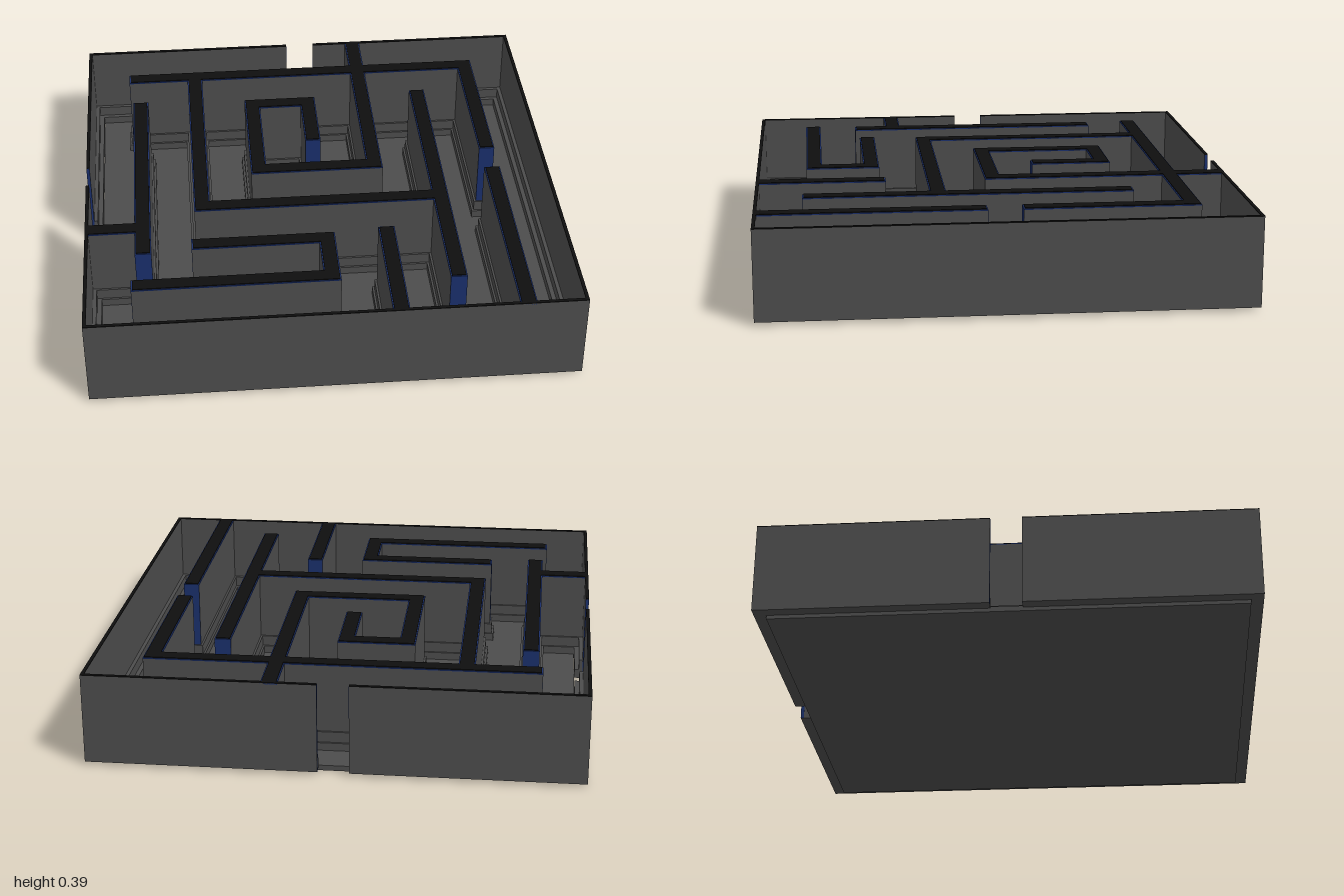
import * as THREE from 'three';

const GREY = new THREE.MeshStandardMaterial({ name: 'stone grey', color: 0x4c4c4c });
const BLACK = new THREE.MeshStandardMaterial({ name: 'cap black', color: 0x0f0f0f });
const BLUE = new THREE.MeshStandardMaterial({ name: 'trim blue', color: 0x1a2f6b });

const BOTTOM = 0.015, FLOOR = 0.022, TOP = 0.392, CAP = 0.004, TRIM = 0.004;
const HALF = 0.034;   // half thickness of an inner wall
const NOTCH = 0.064;  // half width of the two openings

// Box given by its plan rectangle [x0, z0, x1, z1] and its height range
function slab(parent, name, [x0, z0, x1, z1], y0, y1, material) {
  const mesh = new THREE.Mesh(new THREE.BoxGeometry(x1 - x0, y1 - y0, z1 - z0), material);
  mesh.position.set((x0 + x1) / 2, (y0 + y1) / 2, (z0 + z1) / 2);
  mesh.name = name;
  parent.add(mesh);
}

// Enlarge a rectangle, kept inside the outer square
function grow([x0, z0, x1, z1], d) {
  const lim = 0.995;
  return [Math.max(x0 - d, -lim), Math.max(z0 - d, -lim), Math.min(x1 + d, lim), Math.min(z1 + d, lim)];
}

// Wall body with a blue trim line and a black cap
function cappedWall(parent, name, rect, inset) {
  const [x0, z0, x1, z1] = rect;
  slab(parent, name + 'Body', rect, BOTTOM, TOP - CAP - TRIM, GREY);
  slab(parent, name + 'Trim', rect, TOP - CAP - TRIM, TOP - CAP, BLUE);
  slab(parent, name + 'Cap', [x0 + inset, z0 + inset, x1 - inset, z1 - inset], TOP - CAP, TOP, BLACK);
}

// Inner walls: [direction, centre line, start, end, free start, free end]
const WALLS = [
  ['z', 0.252, -1, 0.034, 0, 0],
  ['x', -0.76, -0.81, 0.793, 1, 0],
  ['z', 0.759, -0.794, -0.074, 0, 1],
  ['z', 0.759, 0.07, 1, 1, 0],
  ['z', -0.508, -0.76, 0.282, 0, 0],
  ['x', 0.248, -0.542, 0.508, 0, 0],
  ['z', 0.508, -0.56, 0.805, 1, 1],
  ['x', 0, -0.287, 0.286, 0, 0],
  ['z', -0.253, -0.542, 0.034, 0, 0],
  ['x', -0.508, -0.287, 0.034, 0, 0],
  ['z', 0, -0.542, -0.198, 0, 1],
  ['z', -0.76, -0.56, 0.555, 1, 1],
  ['x', 0.377, -1, -0.76, 0, 0],
  ['x', 0.506, -0.56, 0.034, 1, 0],
  ['z', 0, 0.472, 0.788, 0, 0],
  ['x', 0.754, -0.81, 0.034, 1, 0],
  ['z', 0.252, 0.455, 1, 1, 0],
];

// Outer wall runs of a given depth, leaving the two openings free
function outerRuns(d) {
  return [
    [-1, 1 - d, 1, 1],
    [1 - d, -1, 1, 1],
    [-1, -1, -NOTCH, -1 + d], [NOTCH, -1, 1, -1 + d],
    [-1, -1, -1 + d, -NOTCH], [-1, NOTCH, -1 + d, 1],
  ];
}

export function createModel() {
  const model = new THREE.Group();
  model.name = 'maze';
  slab(model, 'floor', [-0.95, -0.95, 0.95, 0.95], 0, FLOOR, GREY);

  // Perimeter with a two-step skirting inside
  const outer = new THREE.Group();
  outer.name = 'outerWalls';
  model.add(outer);
  for (const rect of outerRuns(0.014)) {
    slab(outer, 'outerBody', rect, BOTTOM, TOP - CAP, GREY);
    slab(outer, 'outerCap', rect, TOP - CAP, TOP, BLACK);
  }
  for (const rect of outerRuns(0.03)) slab(outer, 'outerUpperSkirting', rect, BOTTOM, 0.1, GREY);
  for (const rect of outerRuns(0.049)) slab(outer, 'outerLowerSkirting', rect, BOTTOM, 0.055, GREY);

  // Blue faces on the jambs of the openings
  for (const s of [-1, 1]) {
    const a = s * (NOTCH - 0.001), lo = Math.min(a, s * NOTCH), hi = Math.max(a, s * NOTCH);
    slab(outer, 'backJamb', [lo, -1, hi, -0.986], BOTTOM, TOP - CAP, BLUE);
    slab(outer, 'sideJamb', [-1, lo, -0.986, hi], BOTTOM, TOP - CAP, BLUE);
  }

  // Inner walls with stepped skirting and blue faces on free ends
  const inner = new THREE.Group();
  inner.name = 'innerWalls';
  model.add(inner);
  for (const [dir, c, a, b, freeA, freeB] of WALLS) {
    const plan = (from, to, h) => dir === 'x' ? [from, c - h, to, c + h] : [c - h, from, c + h, to];
    const rect = plan(a, b, HALF);
    cappedWall(inner, 'innerWall', rect, 0.005);
    slab(inner, 'upperSkirting', grow(rect, 0.009), BOTTOM, 0.1, GREY);
    slab(inner, 'lowerSkirting', grow(rect, 0.018), BOTTOM, 0.055, GREY);
    if (freeA) slab(inner, 'endFace', plan(a - 0.001, a, HALF), 0.1, TOP - CAP, BLUE);
    if (freeB) slab(inner, 'endFace', plan(b, b + 0.001, HALF), 0.1, TOP - CAP, BLUE);
  }
  return model;
}
